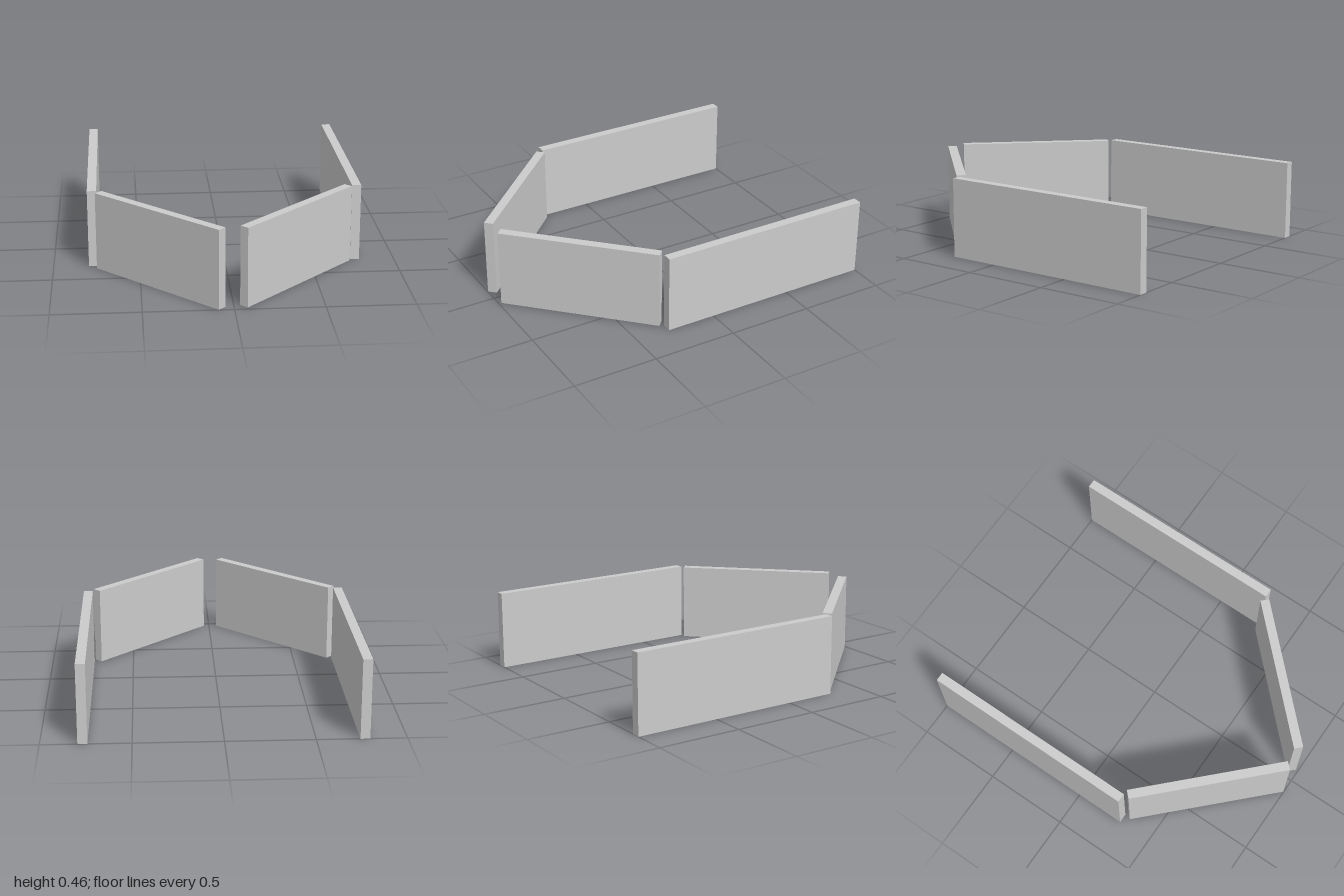
import * as THREE from 'three';

const HEIGHT = 0.46;
const THICK = 0.054;

export function createModel() {
  const group = new THREE.Group();
  const material = new THREE.MeshStandardMaterial({ color: 0xcccccc, flatShading: true });

  // An upright panel, its length along x before turning about y
  const addPanel = (name, length, x, z, turn, lift = 0) => {
    const panel = new THREE.Mesh(new THREE.BoxGeometry(length, HEIGHT, THICK), material);
    panel.name = name;
    panel.position.set(x, HEIGHT / 2 + lift, z);
    panel.rotation.y = turn;
    group.add(panel);
  };

  // Parallel side walls
  addPanel('leftSideWall', 1.297, 0.768, -0.352, Math.PI / 2);
  addPanel('rightSideWall', 1.297, -0.768, -0.352, Math.PI / 2);

  // Angled front walls with a narrow gap between them
  addPanel('leftFrontWall', 0.938, 0.385, 0.636, Math.PI / 4, 0.004);
  addPanel('rightFrontWall', 0.938, -0.398, 0.647, -Math.PI / 4);

  return group;
}
